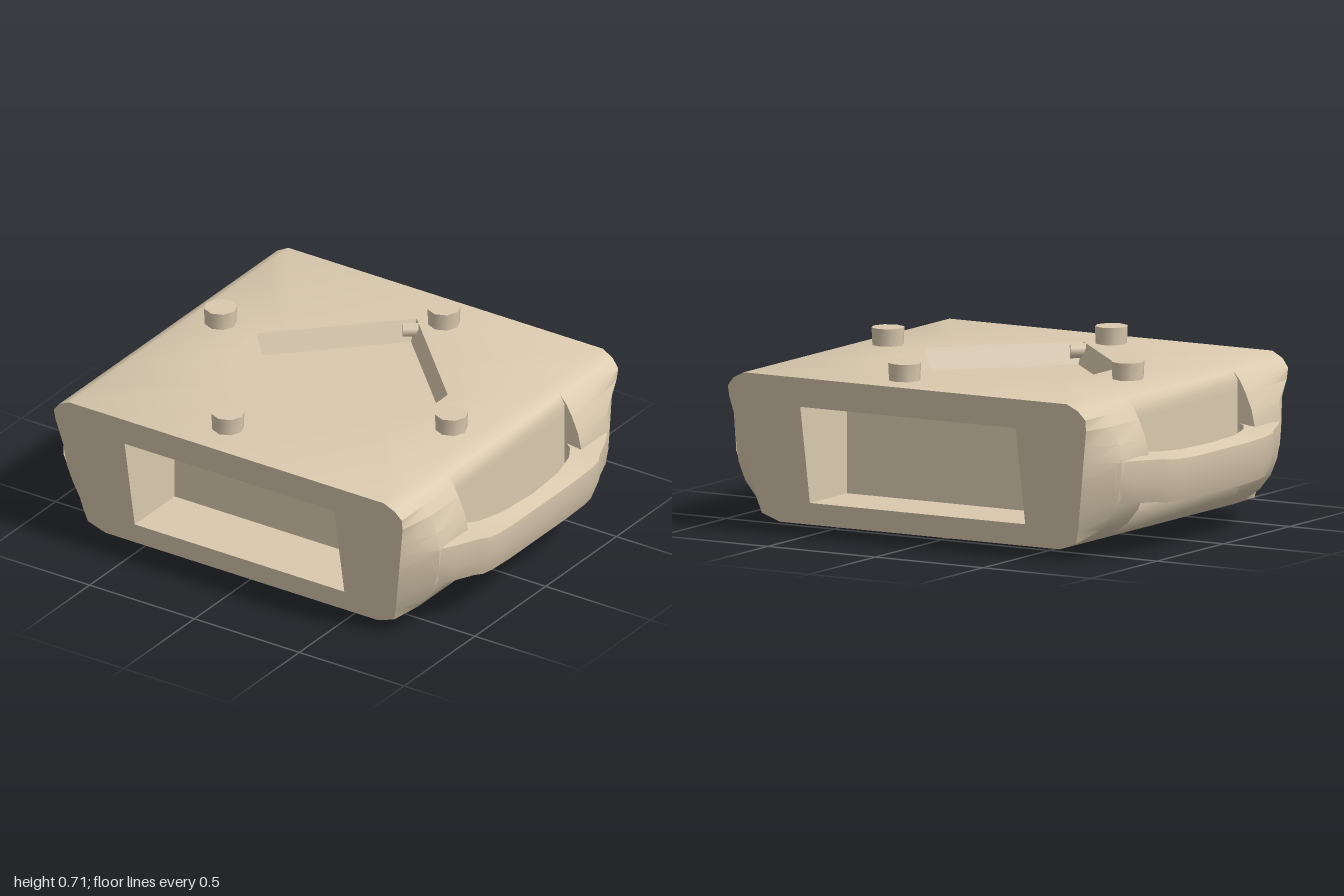
import * as THREE from 'three';
import { toCreasedNormals } from 'three/addons/utils/BufferGeometryUtils.js';

const bodyMat = new THREE.MeshStandardMaterial({ color: 0xd9c9ae, side: THREE.DoubleSide });

function add(parent, geometry, name) {
  const mesh = new THREE.Mesh(geometry, bodyMat);
  mesh.name = name;
  parent.add(mesh);
  return mesh;
}

// Skin over a series of closed rings; the last ring is filled to its middle when capped
function loft(rings, cap) {
  const n = rings[0].length;
  const pos = rings.flat(2);
  const idx = [];
  for (let i = 0; i < rings.length - 1; i++) {
    for (let j = 0; j < n; j++) {
      const a = i * n + j, b = i * n + (j + 1) % n;
      idx.push(a, b, b + n, a, b + n, a + n);
    }
  }
  if (cap) {
    const last = rings[rings.length - 1], o = (rings.length - 1) * n;
    pos.push(0, last[0][1], 0);
    for (let j = 0; j < n; j++) idx.push(o + j, o + (j + 1) % n, rings.length * n);
  }
  const g = new THREE.BufferGeometry();
  g.setAttribute('position', new THREE.Float32BufferAttribute(pos, 3));
  g.setIndex(idx);
  return toCreasedNormals(g, 0.7);
}

// Sloping front and back faces lean outwards; the body pinches in towards them
const endZ = (y) => 0.658 + 0.182 * y;
const endX = (y) => 0.72 + 0.2 * y;
const NOTCH_X = 0.82, NOTCH_Z = 0.4, WIDE_Z = 0.6;
const clampX = (x, max) => Math.max(-max, Math.min(max, x));

// Cross-section of the lower body, optionally clipped at the sides
function profile(maxX) {
  const half = [[0.65, 0.04], [0.73, 0.07], [0.8, 0.12], [0.85, 0.18], [0.88, 0.25],
    [0.895, 0.33], [0.9, 0.4], [0.885, 0.47], [0.855, 0.54]];
  const right = half.map(([x, y]) => new THREE.Vector2(clampX(x, maxX), y));
  const left = right.map((p) => new THREE.Vector2(-p.x, p.y)).reverse();
  return new THREE.Shape([...right, ...left]);
}

// End block with a rectangular opening: straight to WIDE_Z, then pinched and sloped
function endBlock() {
  const shape = profile(2);
  shape.holes.push(new THREE.Path([[-0.5, 0.13], [-0.5, 0.525], [0.5, 0.525], [0.5, 0.13]]
    .map(([x, y]) => new THREE.Vector2(x, y))));
  const g = new THREE.ExtrudeGeometry(shape, { depth: 2, steps: 2, bevelEnabled: false });
  const p = g.attributes.position;
  for (let i = 0; i < p.count; i++) {
    const step = Math.round(p.getZ(i));
    if (step === 2) p.setX(i, clampX(p.getX(i), endX(p.getY(i))));
    p.setZ(i, [NOTCH_Z, WIDE_Z, endZ(p.getY(i))][step]);
  }
  g.computeVertexNormals();
  return toCreasedNormals(g, 0.7);
}

// Shoulder, flat top and the sunken diamond panel
function topGeometry() {
  // [x factor, z position, clipped at notch, place around the diamond]
  const quarter = [[1, 'end', 0, 0.5], [1, WIDE_Z, 0, 0.65], [1, NOTCH_Z, 0, 0.75], [1, NOTCH_Z, 1, 0.8]];
  const half = [[0, 'end', 0, 0], ...quarter,
    ...quarter.map(([f, z, clip, u]) => [f, z === 'end' ? 'back' : -z, clip, 2 - u]).reverse()];
  const rect = (x, y) => [1, -1].flatMap((s) => half.map(([f, at, clip]) => {
    const pz = at === 'end' ? endZ(y) : at === 'back' ? -endZ(y) : at;
    const max = typeof at === 'string' ? endX(y) : clip ? NOTCH_X : x;
    return [s * f * clampX(x, max), y, s * pz];
  }));
  const diamond = (r, y) => {
    const corners = [[0, r], [r, 0], [0, -r], [-r, 0]];
    return [0, 2].flatMap((o) => half.map(([, , , u]) => {
      const k = Math.floor(u), t = u - k;
      const a = corners[(k + o) % 4], b = corners[(k + o + 1) % 4];
      return [a[0] + (b[0] - a[0]) * t, y, a[1] + (b[1] - a[1]) * t];
    }));
  };
  return loft([
    rect(0.855, 0.54), rect(0.83, 0.585), rect(0.8, 0.62), rect(0.75, 0.645),
    diamond(0.57, 0.645), diamond(0.53, 0.56),
  ], true);
}

// Side grip: sections [z, inner x, outer x, lift]
function handleGeometry() {
  const arm = [[0, 0.94, 1, 0], [0.2, 0.925, 1, 0], [0.32, 0.895, 1, 0.005], [0.38, 0.86, 0.995, 0.01],
    [0.42, 0.8, 0.975, 0.015], [0.52, 0.8, 0.935, 0.02], [0.62, 0.8, 0.88, 0.02]];
  const all = [...arm.slice(1).reverse().map(([z, ...r]) => [-z, ...r]), ...arm];
  return loft(all.map(([z, a, b, l]) => [
    [a, 0.215 + l, z], [b - 0.035, 0.205 + l, z], [b, 0.3, z], [b, 0.38 + l, z], [a, 0.4 + l, z],
  ]));
}

export function createModel() {
  const model = new THREE.Group();
  model.name = 'device';

  // Body core, narrower where the grips leave a gap
  const core = new THREE.ExtrudeGeometry(profile(NOTCH_X), { depth: 2 * NOTCH_Z, bevelEnabled: false });
  core.translate(0, 0, -NOTCH_Z);
  add(model, toCreasedNormals(core, 0.7), 'bodyCore');
  add(model, topGeometry(), 'topPanel');

  // Front and back blocks and the two grips
  for (const [turn, end, side] of [[0, 'front', 'left'], [Math.PI, 'back', 'right']]) {
    add(model, endBlock(), end + 'Block').rotation.y = turn;
    add(model, handleGeometry(), side + 'Handle').rotation.y = turn;
  }

  // Four pegs, each joined to a corner of the diamond
  for (let i = 0; i < 4; i++) {
    const peg = new THREE.Group();
    peg.name = 'peg' + (i + 1);
    const post = new THREE.CylinderGeometry(0.067, 0.06, 0.135, 8);
    add(peg, toCreasedNormals(post, 0.9), 'pegPost').position.set(-0.11, 0.6475, 0.6);
    const link = new THREE.CylinderGeometry(0.03, 0.03, 0.16, 6);
    link.rotateX(Math.PI / 2);
    const joint = add(peg, link, 'pegLink');
    joint.position.set(-0.04, 0.615, 0.555);
    joint.rotation.y = -0.95;
    // Side pegs sit slightly further out than the front and back ones
    peg.position.x = [0, 0.025, 0, -0.025][i];
    peg.rotation.y = i * Math.PI / 2;
    model.add(peg);
  }

  // Foot under the body
  add(model, new THREE.BoxGeometry(0.4, 0.06, 0.2), 'foot').position.set(0, 0.03, -0.1);
  return model;
}
